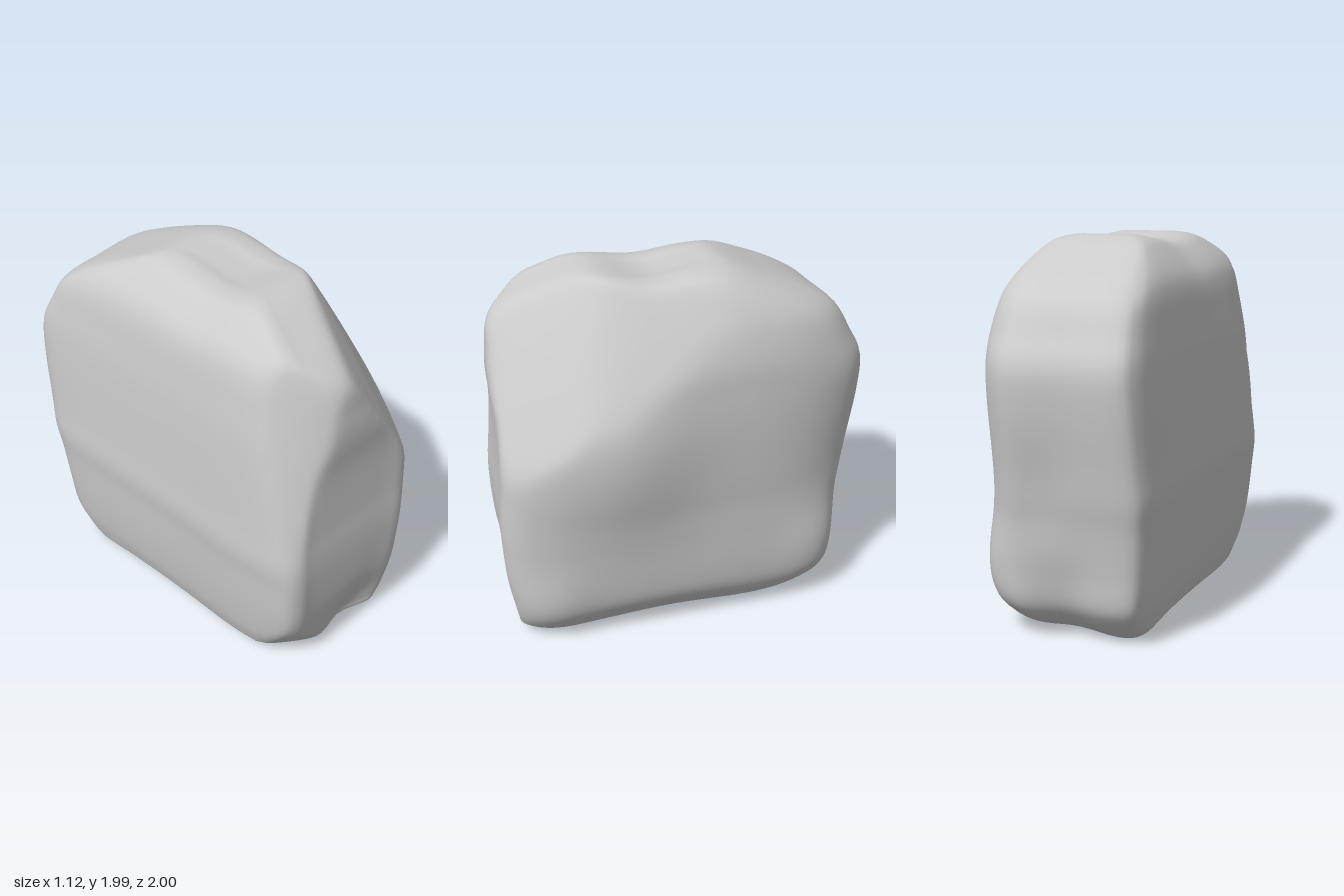
import * as THREE from 'three';

// Plan outline (x, z), running round the boulder
const PLAN = [
  [0.13, -1], [0.25, -0.95], [0.35, -0.83], [0.43, -0.62], [0.47, -0.35], [0.48, 0],
  [0.48, 0.3], [0.47, 0.55], [0.45, 0.76], [0.4, 0.92], [0.31, 1], [0.15, 0.99], [-0.15, 0.97],
  [-0.35, 0.96], [-0.47, 0.955], [-0.54, 0.87], [-0.555, 0.55], [-0.535, 0.25], [-0.52, 0],
  [-0.51, -0.4], [-0.5, -0.7], [-0.475, -0.87], [-0.4, -0.955], [-0.15, -0.975],
];

// Height, then reach to -x, +x, -z, +z
const LEVELS = [
  [0.03, 0, 0, 0, 0], [0.03, 0.2, 0.16, 0.35, 0.45], [0.025, 0.36, 0.27, 0.6, 0.8],
  [0.04, 0.44, 0.35, 0.68, 0.92], [0.1, 0.47, 0.395, 0.77, 0.94], [0.2, 0.495, 0.43, 0.84, 0.955],
  [0.38, 0.52, 0.45, 0.86, 0.985], [0.6, 0.54, 0.46, 0.89, 1], [0.75, 0.555, 0.465, 0.92, 1],
  [0.92, 0.545, 0.475, 0.945, 0.99], [1.2, 0.53, 0.485, 0.985, 0.985], [1.4, 0.515, 0.485, 0.99, 1],
  [1.55, 0.495, 0.48, 0.92, 0.995], [1.7, 0.47, 0.45, 0.83, 0.975], [1.8, 0.43, 0.415, 0.68, 0.86],
  [1.9, 0.345, 0.36, 0.45, 0.67], [1.96, 0.27, 0.29, 0.3, 0.53], [1.985, 0.17, 0.17, 0.2, 0.4],
  [1.98, 0.08, 0.08, 0.09, 0.18], [1.98, 0, 0, 0, 0],
];

const { smoothstep } = THREE.MathUtils;
const bump = (a, b, size) => Math.exp(-(a * a + b * b) / (size * size));

// Corners sliced off: plane normal and distance from the origin
const CUTS = [
  [new THREE.Vector3(0.64, 0.485, 0.6), 1.32],    // upper front, +x side
  [new THREE.Vector3(0.85, 0.48, 0.19), 1.185],   // upper +x edge
  [new THREE.Vector3(-0.69, 0.21, 0.69), 1.155],  // upper front, -x side
  [new THREE.Vector3(-0.5, 0.75, -0.43), 1.8],    // upper back, -x side
  [new THREE.Vector3(-0.5, -0.6, 0.62), 0.63],    // lower front, -x side
  [new THREE.Vector3(0.5, -0.75, 0.43), 0.49],    // lower front, +x side
];

// Belly, worn hollows and sliced corners
function weather(p) {
  const { x, y, z } = p;
  const side = smoothstep(x, 0, 0.4);
  const heel = side * bump((y - 0.32) / 0.3, (z + 0.75) / 0.25, 1);
  p.x += side * 0.085 * bump((y - 1.12) / 0.45, (z - 0.42) / 0.4, 1);               // belly
  p.x += heel * 0.07;                                                               // back heel
  p.z -= heel * 0.05;
  p.x += side * 0.03 * bump(y - 0.22, z - 0.8, 0.2);                                // front heel
  p.x -= side * 0.07 * bump(y - 0.03, (z - 0.1) * 0.25, 0.13);                      // worn lower edge
  p.y -= smoothstep(y, 1.5, 1.95) * 0.045 * bump(z - 0.17, x * 0.4, 0.2);           // saddle on top
  p.y -= smoothstep(-y, -0.15, -0.03) * 0.03 * bump(x + 0.3, z + 0.6, 0.2);         // low corner
  p.z -= smoothstep(z, 0.4, 0.9) * 0.05 * bump(x - 0.02, (y - 0.05) * 0.7, 0.13);   // front foot notch
  p.z += smoothstep(-z, 0.4, 0.8) * 0.05 * bump(x + 0.02, (y - 0.15) * 0.6, 0.14);  // back foot notch
  p.z += smoothstep(-z, 0.4, 0.8) * 0.025 * bump(x - 0.05, (y - 0.75) * 0.5, 0.13); // back hollow
  for (const [normal, distance] of CUTS) {
    const d = normal.dot(p) - distance;
    p.addScaledVector(normal, -0.47 * (d + Math.hypot(d, 0.03)));
  }
  return p;
}

function boulderGeometry(sides = 96, rows = 100) {
  const spline = (pts, closed) => new THREE.CatmullRomCurve3(pts, closed, 'catmullrom', 0.5);
  const outline = spline(PLAN.map(([x, z]) => new THREE.Vector3(x, 0, z)), true);
  const reachX = spline(LEVELS.map((l) => new THREE.Vector3(l[1], l[0], l[2])));
  const reachZ = spline(LEVELS.map((l) => new THREE.Vector3(l[3], l[0], l[4])));
  const ring = Array.from({ length: sides }, (_, i) => outline.getPoint(i / sides));

  const positions = [], index = [];
  for (let r = 0; r <= rows; r++) {
    const a = reachX.getPoint(r / rows), b = reachZ.getPoint(r / rows);
    ring.forEach((q, i) => {
      const x = q.x * (q.x < 0 ? a.x / 0.555 : a.z / 0.48);
      const z = q.z * (q.z < 0 ? b.x : b.z);
      const p = weather(new THREE.Vector3(x, a.y, z));
      positions.push(p.x, p.y, p.z);
      if (r === rows) return;
      const j = (i + 1) % sides, lo = r * sides, hi = lo + sides;
      index.push(lo + i, hi + i, lo + j, lo + j, hi + i, hi + j);
    });
  }
  const geometry = new THREE.BufferGeometry();
  geometry.setAttribute('position', new THREE.Float32BufferAttribute(positions, 3));
  geometry.setIndex(index);
  geometry.computeVertexNormals();
  return geometry;
}

export function createModel() {
  const group = new THREE.Group();
  group.name = 'rock';
  const boulder = new THREE.Mesh(boulderGeometry(), new THREE.MeshStandardMaterial({ color: 0xcccccc }));
  boulder.name = 'boulder';
  group.add(boulder);
  return group;
}
